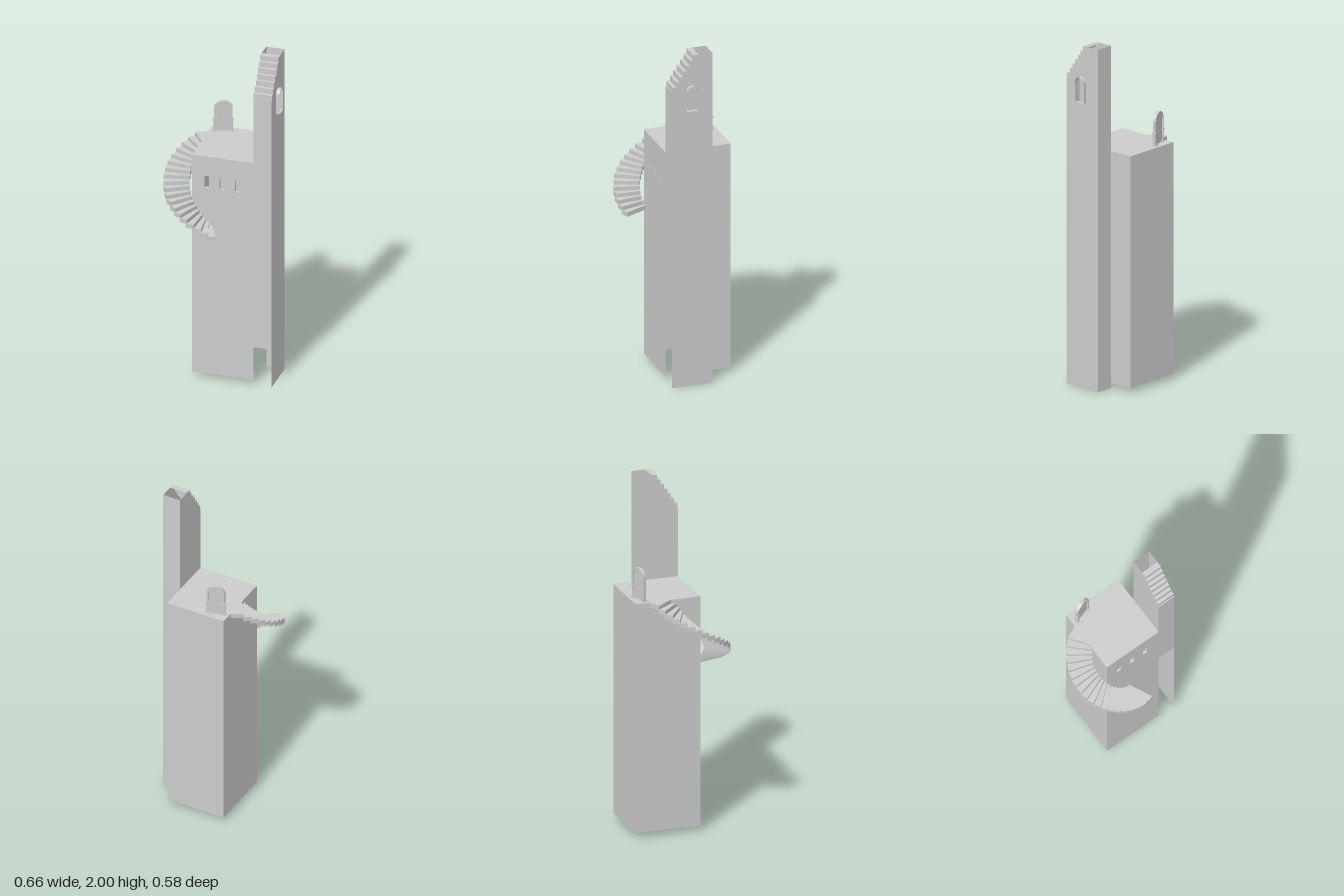
import * as THREE from 'three';

const mat = new THREE.MeshStandardMaterial({ color: 0xcccccc, flatShading: true, side: THREE.DoubleSide });

function add(parent, name, geometry) {
  const mesh = new THREE.Mesh(geometry, mat);
  mesh.name = name;
  parent.add(mesh);
  return mesh;
}

// Round-topped outline, centred on cx, from y0 to y1
function archPoints(cx, y0, y1, r, n = 10) {
  const pts = [new THREE.Vector2(cx - r, y0), new THREE.Vector2(cx + r, y0)];
  for (let i = 0; i <= n; i++) {
    const a = (Math.PI * i) / n;
    pts.push(new THREE.Vector2(cx + r * Math.cos(a), y1 - r + r * Math.sin(a)));
  }
  return pts;
}

// Open ribbon swept along z (from z0 to z1) through 2D points
function ribbon(points, z0, z1) {
  const pos = [];
  for (let i = 0; i < points.length - 1; i++) {
    const a = points[i], b = points[i + 1];
    pos.push(a.x, a.y, z0, b.x, b.y, z0, b.x, b.y, z1, a.x, a.y, z0, b.x, b.y, z1, a.x, a.y, z1);
  }
  const g = new THREE.BufferGeometry();
  g.setAttribute('position', new THREE.Float32BufferAttribute(pos, 3));
  g.computeVertexNormals();
  return g;
}

// Flat wall in the xy plane with optional holes
function wall(points, holes = []) {
  const s = new THREE.Shape(points);
  holes.forEach(h => s.holes.push(new THREE.Path(h)));
  return new THREE.ShapeGeometry(s);
}

const rect = (x0, y0, x1, y1) =>
  [[x0, y0], [x1, y0], [x1, y1], [x0, y1]].map(p => new THREE.Vector2(...p));

// Turns local x into world z
const sideways = (g, x) => g.rotateY(-Math.PI / 2).translate(x, 0, 0);

const X0 = -0.145, X1 = 0.213, X2 = 0.32;
const ZF = 0.095, ZB = -0.29, ZT = -0.143;
const Y0 = 0.03, ROOF = 1.385;

function mainBlock() {
  const g = new THREE.Group();
  g.name = 'mainBlock';
  const windows = [-0.06, 0.03, 0.12].map(x => archPoints(x, 1.19, 1.265, 0.014));
  add(g, 'frontWall', wall(rect(X0, Y0, X1, ROOF), windows)).position.z = ZF;
  windows.forEach(w =>
    add(g, 'windowReveal', ribbon([...w, w[0]], ZF - 0.015, ZF)));
  add(g, 'backWall', wall(rect(X0, Y0, X1, ROOF))).position.z = ZB;
  add(g, 'rightWall', sideways(wall(rect(ZB, Y0, ZF, ROOF)), X0));
  // The tower side stays open inside the tower
  add(g, 'leftWall', sideways(wall(rect(ZB, Y0, ZT, ROOF)), X1));
  add(g, 'roof', wall(rect(X0, -ZF, X1, -ZB)).rotateX(-Math.PI / 2)).position.y = ROOF;
  return g;
}

function tower() {
  const g = new THREE.Group();
  g.name = 'tower';
  // Stepped top, from the front edge to the flat crest
  const steps = [new THREE.Vector2(ZF, 1.79)];
  for (let i = 0; i < 7; i++) {
    const z = 0.09 - i * 0.02, y = 1.79 + i * 0.03;
    steps.push(new THREE.Vector2(z, y), new THREE.Vector2(z, y + 0.03));
  }
  const side = base => [new THREE.Vector2(ZT, base), new THREE.Vector2(ZF, base),
    ...steps, new THREE.Vector2(ZT, 2)];
  const hole = archPoints(-0.02, 1.67, 1.818, 0.033, 14);
  add(g, 'outerWall', sideways(wall(side(0), [hole]), X2));
  add(g, 'windowReveal', sideways(ribbon([...hole, hole[0]], -0.02, 0), X2));
  add(g, 'innerWall', sideways(wall(side(ROOF)), X1));
  add(g, 'backWall', wall(rect(X1, 0, X2, 2))).position.z = ZT;
  // Front wall starts above the tall opening; the crest leaves a shaft open behind it
  add(g, 'frontWallAndSteps', sideways(ribbon(
    [new THREE.Vector2(ZF, 0.96), ...steps, new THREE.Vector2(-0.063, 2)], 0, X2 - X1), X2));
  return g;
}

function spiralStair() {
  const g = new THREE.Group();
  g.name = 'spiralStair';
  const cx = -0.065, cz = 0.032, rIn = 0.11, rOut = 0.256;
  const count = 19, start = 64, pitch = 9.45, rise = (ROOF - 0.98) / (count - 1);
  const at = (r, deg) => {
    const a = THREE.MathUtils.degToRad(deg);
    return new THREE.Vector2(cx + r * Math.cos(a), -(cz + r * Math.sin(a)));
  };
  for (let i = 0; i < count; i++) {
    const a0 = start + i * pitch, a1 = a0 + pitch + 1.5;
    let outline = [at(rIn, a0), at(rOut, a0), at(rOut, a1), at(rIn, a1)];
    // The top landing is cut off where it meets the block
    if (i === count - 1)
      outline = [new THREE.Vector2(X0, 0.08), at(rOut, a0), new THREE.Vector2(X0, 0.21)];
    const geo = new THREE.ExtrudeGeometry(new THREE.Shape(outline), { depth: 0.026, bevelEnabled: false });
    geo.rotateX(-Math.PI / 2);
    add(g, 'step', geo).position.y = 0.98 + i * rise - 0.026;
  }
  return g;
}

function roofDoor() {
  const g = new THREE.Group();
  g.name = 'roofDoor';
  const extrude = (shape, depth) =>
    new THREE.ExtrudeGeometry(shape, { depth, bevelEnabled: false }).translate(0, 0, -depth / 2);
  const frame = new THREE.Shape(archPoints(0, 0, 0.187, 0.052, 16));
  frame.holes.push(new THREE.Path(archPoints(0, 0.001, 0.177, 0.042, 16)));
  add(g, 'doorFrame', extrude(frame, 0.018));
  add(g, 'doorPanel', extrude(new THREE.Shape(archPoints(0, 0, 0.179, 0.044, 16)), 0.008));
  // Posts with base and cap blocks
  for (const s of [-1, 1]) {
    for (const [name, w, h, y] of [['postBase', 0.024, 0.01, 0.005], ['post', 0.016, 0.07, 0.035], ['postCap', 0.024, 0.008, 0.072]])
      add(g, name, new THREE.BoxGeometry(w, h, w)).position.set(s * 0.047, y, 0);
  }
  g.position.set(-0.07, ROOF, -0.242);
  g.rotation.y = 0.3;
  return g;
}

export function createModel() {
  const model = new THREE.Group();
  model.name = 'towerWithSpiralStair';
  model.add(mainBlock(), tower(), spiralStair(), roofDoor());
  return model;
}
